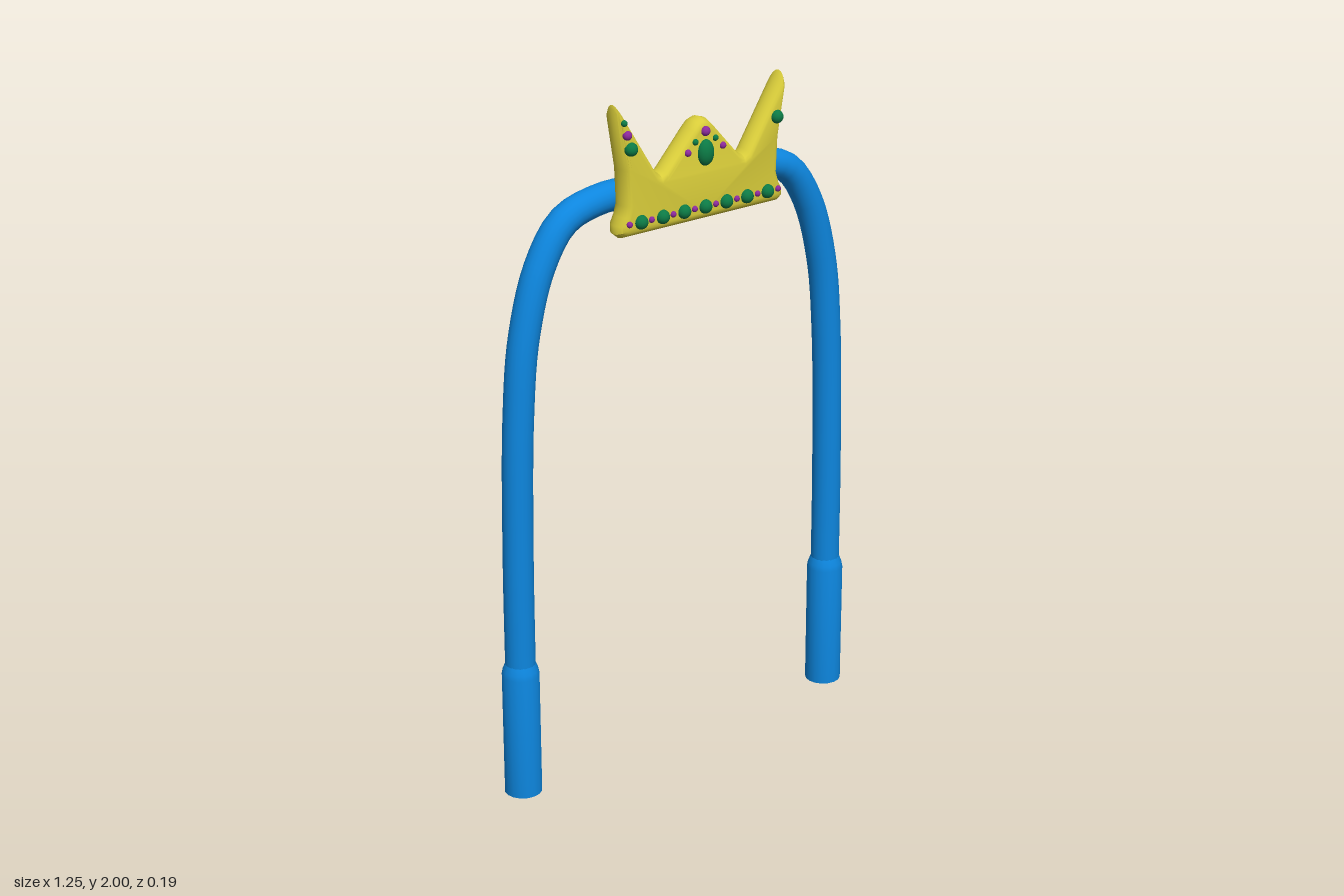
import * as THREE from 'three';
import { toCreasedNormals } from 'three/addons/utils/BufferGeometryUtils.js';

const paint = (color) => new THREE.MeshStandardMaterial({ color });
const blue = paint(0x0d86de);
const gold = paint(0xd9cd3a);
const green = paint(0x0c7a45);
const purple = paint(0x8c2a9c);

// Half outlines of the crown, bottom centre to top centre: widest rim and flat face
const RIM = [[0, 1.63], [0.275, 1.63], [0.29, 1.643], [0.29, 1.667], [0.276, 1.69], [0.268, 1.72],
  [0.272, 1.82], [0.292, 1.99], [0.288, 2.0], [0.276, 1.985], [0.16, 1.8], [0.145, 1.79],
  [0.13, 1.797], [0.04, 1.895], [0.02, 1.914], [0, 1.92]];
const FACE = [[0, 1.655], [0.25, 1.655], [0.262, 1.658], [0.262, 1.668], [0.255, 1.69], [0.245, 1.72],
  [0.25, 1.82], [0.277, 1.94], [0.276, 1.945], [0.27, 1.935], [0.165, 1.775], [0.145, 1.765],
  [0.125, 1.772], [0.03, 1.875], [0.015, 1.89], [0, 1.895]];

function mirrorOutline(half) {
  const other = half.slice(1, -1).reverse().map(([x, y]) => [-x, y]);
  return [...half, ...other].map(([x, y]) => new THREE.Vector2(x, y));
}

// Loops run front to back, swelling from the face outline to the rim and back
function crownGeometry() {
  const rim = mirrorOutline(RIM), face = mirrorOutline(FACE);
  const n = rim.length, steps = 10, pos = [], idx = [];
  for (let j = 0; j <= steps; j++) {
    const a = Math.PI * j / steps;
    for (let i = 0; i < n; i++) {
      const p = face[i].clone().lerp(rim[i], Math.sin(a));
      pos.push(p.x, p.y, 0.037 + 0.035 * Math.cos(a));
    }
  }
  for (let j = 0; j < steps; j++) {
    for (let i = 0; i < n; i++) {
      const a = j * n + i, c = j * n + (i + 1) % n;
      idx.push(a, a + n, c, a + n, c + n, c);
    }
  }
  const back = steps * n;
  for (const [a, b, c] of THREE.ShapeUtils.triangulateShape(face, [])) {
    idx.push(a, b, c, back + a, back + c, back + b);
  }
  const g = new THREE.BufferGeometry();
  g.setAttribute('position', new THREE.Float32BufferAttribute(pos, 3));
  g.setIndex(idx);
  return toCreasedNormals(g, 0.7);
}

export function createModel() {
  const model = new THREE.Group();
  model.name = 'crownHeadband';
  const add = (name, geometry, material, parent = model) => {
    const m = new THREE.Mesh(geometry, material);
    m.name = name;
    parent.add(m);
    return m;
  };

  // Arched band
  const half = [[0.572, 0.38], [0.57, 0.75], [0.558, 1.15], [0.533, 1.38], [0.475, 1.57],
    [0.395, 1.68], [0.28, 1.717], [0.13, 1.719]];
  const points = [...half, [0, 1.719], ...half.slice().reverse().map(([x, y]) => [-x, y])]
    .map(([x, y]) => new THREE.Vector3(x, y, -0.045));
  add('band', new THREE.TubeGeometry(new THREE.CatmullRomCurve3(points), 96, 0.043, 20), blue);

  // Thicker end sleeves with a tapered shoulder
  for (const side of [1, -1]) {
    const y0 = side > 0 ? 0 : 0.008;
    const profile = [[0, y0], [0.054, y0], [0.054, 0.38], [0.051, 0.395], [0.043, 0.415], [0.03, 0.415]]
      .map(([x, y]) => new THREE.Vector2(x, y));
    const sleeve = add(side > 0 ? 'leftSleeve' : 'rightSleeve',
      toCreasedNormals(new THREE.LatheGeometry(profile, 16), 0.7), blue);
    sleeve.position.set(side * 0.572, 0, -0.045);
  }

  // Crown plate
  add('crown', crownGeometry(), gold);

  // Jewels
  const jewels = new THREE.Group();
  jewels.name = 'jewels';
  model.add(jewels);
  const ball = new THREE.SphereGeometry(1, 16, 12);
  const jewel = (name, x, y, r, material, ry = r) => {
    const m = add(name, ball, material, jewels);
    m.position.set(x, y, 0.072);
    m.scale.set(r, ry, Math.min(r, 0.022));
  };
  // Row along the base
  for (let i = -3; i <= 3; i++) jewel('baseJewel', i * 0.074, 1.672, 0.02, green);
  for (let i = -3.5; i <= 3.5; i++) jewel('baseBead', i * 0.0745, 1.672, 0.009, purple);
  // Middle point
  jewel('centreJewel', 0, 1.825, 0.026, green, 0.037);
  jewel('centreTopBead', 0, 1.885, 0.014, purple);
  for (const s of [-1, 1]) {
    jewel('centreSmallBead', s * 0.035, 1.86, 0.009, green);
    jewel('centreSideBead', s * 0.061, 1.834, 0.01, purple);
    jewel('pointJewel', s * 0.254, 1.88, 0.019, green);
  }
  // Extra beads on one outer point
  jewel('pointBead', -0.266, 1.92, 0.013, purple);
  jewel('pointTipBead', -0.276, 1.955, 0.009, green);

  return model;
}
